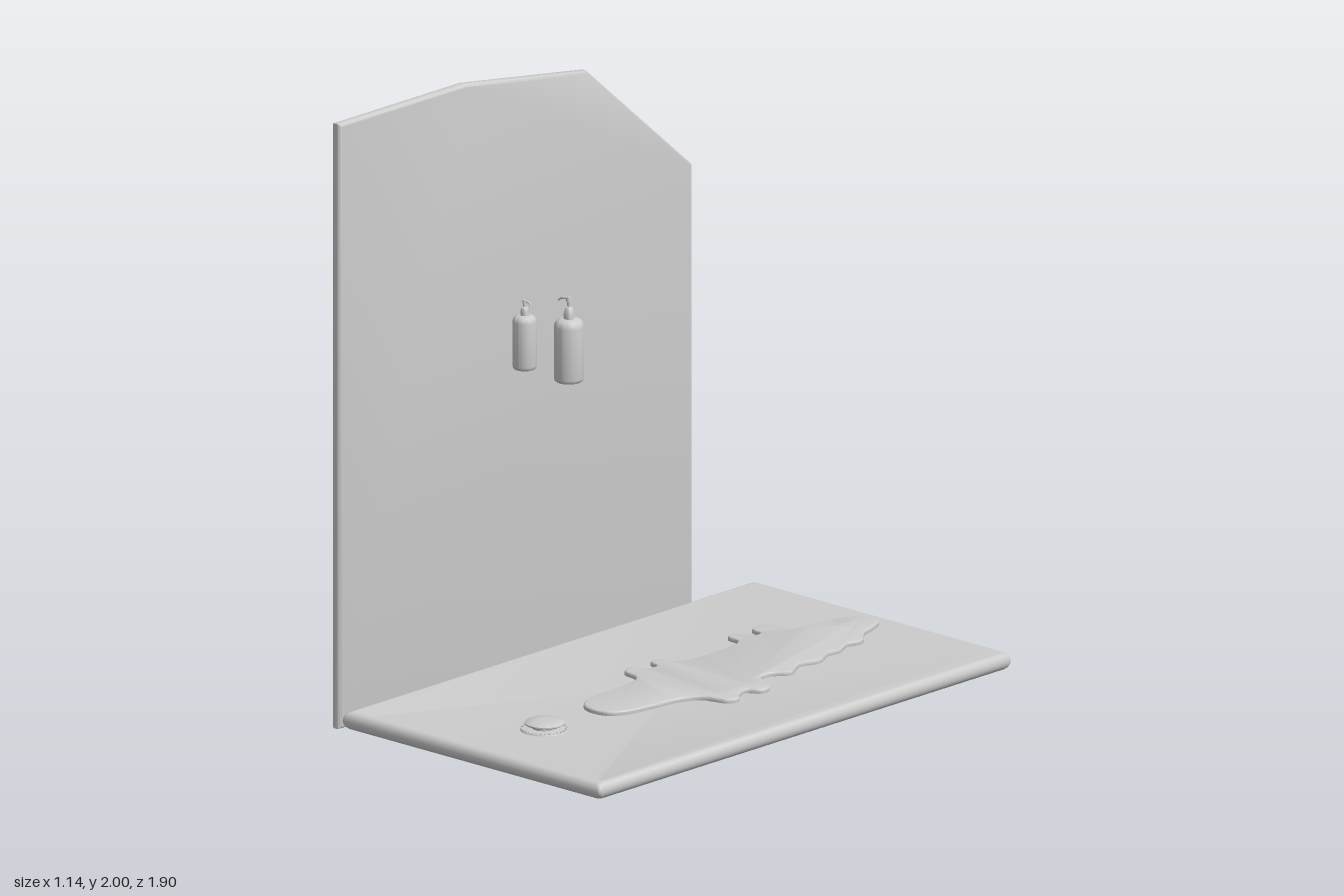
import * as THREE from 'three';
import { toCreasedNormals } from 'three/addons/utils/BufferGeometryUtils.js';

const grey = new THREE.MeshStandardMaterial({ color: 0xcccccc });

function part(name, geometry, parent, crease = 0.7) {
  const mesh = new THREE.Mesh(toCreasedNormals(geometry, crease), grey);
  mesh.name = name;
  parent.add(mesh);
  return mesh;
}

const floorY = (z) => 0.063 - 0.0084 * z; // floor falls gently towards the drain

// Rounded-rectangle loop, running anticlockwise seen from above
function trayLoop(inset, y) {
  const hx = 0.555 - inset, hz = 0.947 - inset, r = 0.014, n = 4, loop = [];
  for (let c = 0; c < 4; c++) {
    const sx = c === 0 || c === 3 ? 1 : -1, sz = c < 2 ? 1 : -1;
    for (let i = 0; i <= n; i++) {
      const a = (c + i / n) * Math.PI / 2;
      const x = 0.013 + sx * (hx - r) + r * Math.cos(a);
      const z = -0.004 + sz * (hz - r) + r * Math.sin(a);
      loop.push([x, y ?? floorY(z), z]);
    }
  }
  return loop;
}

// Tray lofted from underside, round the edge and rim, down into the shallow basin
function trayGeometry() {
  const loops = [trayLoop(0.022, 0.015)];
  for (let i = 1; i <= 8; i++) {
    const a = -Math.PI / 2 + i * Math.PI / 8;
    loops.push(trayLoop(0.022 * (1 - Math.cos(a)), 0.0425 + 0.0275 * Math.sin(a)));
  }
  loops.push(trayLoop(0.026, 0.07), trayLoop(0.065));
  const m = loops[0].length, pos = loops.flat(2), index = [];
  for (let k = 0; k < loops.length - 1; k++) {
    for (let i = 0; i < m; i++) {
      const a = k * m + i, b = k * m + (i + 1) % m;
      index.push(a, a + m, b, b, a + m, b + m);
    }
  }
  const low = pos.length / 3, high = low + 1, last = (loops.length - 1) * m;
  pos.push(0.013, 0.015, -0.004, 0.013, floorY(-0.004), -0.004);
  for (let i = 0; i < m; i++) {
    const j = (i + 1) % m;
    index.push(low, i, j, high, last + j, last + i);
  }
  const geo = new THREE.BufferGeometry();
  geo.setAttribute('position', new THREE.Float32BufferAttribute(pos, 3));
  geo.setIndex(index);
  return geo;
}

// Side panel with a clipped upper back corner
function panelGeometry() {
  const outline = [[0.95, 0.014], [-0.67, 0], [-0.67, 1.5], [-0.19, 1.915], [0.37, 2], [0.95, 2]];
  const shape = new THREE.Shape(outline.map(([z, y]) => new THREE.Vector2(-z, y)));
  const geo = new THREE.ExtrudeGeometry(shape, {
    depth: 0.011, bevelThickness: 0.012, bevelSize: 0.012, bevelOffset: -0.012, bevelSegments: 4,
  });
  return geo.rotateY(Math.PI / 2).translate(-0.563, 0, 0);
}

// Outline of the mat as x, z pairs
const matOutline = [
  [0.02, -0.89], [0.07, -0.87], [0.095, -0.81], [0.11, -0.76], [0.16, -0.70], [0.16, -0.67],
  [0.15, -0.64], [0.175, -0.58], [0.17, -0.53], [0.20, -0.46], [0.18, -0.39], [0.215, -0.31],
  [0.18, -0.26], [0.18, -0.21], [0.23, -0.18], [0.275, -0.15], [0.275, -0.11], [0.235, -0.08],
  [0.25, -0.04], [0.28, 0], [0.265, 0.035], [0.18, 0.065], [0.145, 0.13], [0.13, 0.23],
  [0.115, 0.32], [0.08, 0.375], [0.02, 0.39], [-0.03, 0.375], [-0.06, 0.33], [-0.07, 0.20],
  [-0.085, 0.085], [-0.115, 0.05], [-0.175, 0.035], [-0.185, -0.005], [-0.14, -0.03],
  [-0.135, -0.07], [-0.18, -0.09], [-0.18, -0.125], [-0.135, -0.135], [-0.105, -0.18],
  [-0.105, -0.40], [-0.125, -0.43], [-0.175, -0.44], [-0.18, -0.475], [-0.155, -0.495],
  [-0.12, -0.505], [-0.125, -0.535], [-0.17, -0.545], [-0.18, -0.59], [-0.165, -0.62],
  [-0.10, -0.625], [-0.075, -0.64], [-0.055, -0.76], [-0.03, -0.845],
];

function matGeometry() {
  const curve = new THREE.CatmullRomCurve3(
    matOutline.map(([x, z]) => new THREE.Vector3(x, -z, 0)), true, 'centripetal');
  const shape = new THREE.Shape(curve.getPoints(270).slice(0, -1).map((p) => new THREE.Vector2(p.x, p.y)));
  for (const [x, z, rx, rz] of [[0.02, -0.775, 0.026, 0.026], [0.205, -0.135, 0.026, 0.021], [0.21, -0.005, 0.026, 0.021]]) {
    const hole = new THREE.Path();
    hole.absellipse(x, -z, rx, rz, 0, Math.PI * 2, true);
    shape.holes.push(hole);
  }
  const geo = new THREE.ExtrudeGeometry(shape, {
    depth: 0.009, bevelThickness: 0.006, bevelSize: 0.006, bevelOffset: -0.006, bevelSegments: 3, curveSegments: 24,
  });
  geo.rotateX(-Math.PI / 2);
  // Lay the mat on the sloping floor
  const p = geo.attributes.position;
  for (let i = 0; i < p.count; i++) p.setY(i, p.getY(i) + floorY(p.getZ(i)));
  return geo;
}

const lathe = (points, sides = 40) =>
  new THREE.LatheGeometry(points.map(([r, y]) => new THREE.Vector2(r, y)), sides);

// Pump bottle; the spout points along direction dir (+1 or -1 in x)
function bottle(name, x, radius, bodyTop, pumpTop, dir) {
  const g = new THREE.Group();
  g.name = name;
  const base = 1.225, h = bodyTop - base, r = radius, p = pumpTop - bodyTop;
  part('bottleBody', lathe([
    [0, 0], [r * 0.88, 0], [r * 0.97, 0.004], [r, 0.012], [r, h - r * 0.55], [r * 0.95, h - r * 0.3],
    [r * 0.8, h - r * 0.1], [r * 0.55, h], [0, h],
  ]), g);
  part('pumpCollar', lathe([
    [0, 0], [r * 0.36, 0], [r * 0.36, p * 0.2], [r * 0.26, p * 0.5], [r * 0.15, p * 0.56], [0, p * 0.56],
  ], 24), g).position.y = h;
  part('pumpStem', new THREE.CylinderGeometry(r * 0.12, r * 0.12, p * 0.4, 16), g).position.y = h + p * 0.7;
  part('pumpHead', new THREE.CylinderGeometry(r * 0.16, r * 0.2, p * 0.2, 16), g).position.y = h + p * 0.9;
  const spout = new THREE.CatmullRomCurve3([
    new THREE.Vector3(0, h + p * 0.9, 0), new THREE.Vector3(dir * r * 0.55, h + p * 0.9, 0.003),
    new THREE.Vector3(dir * r * 0.85, h + p * 0.78, 0.006),
  ]);
  part('pumpSpout', new THREE.TubeGeometry(spout, 10, r * 0.08, 10), g);
  g.position.set(x, base, 0.61);
  return g;
}

// Raised drain: flange, neck, domed cap and a ring of small studs
function drain() {
  const g = new THREE.Group();
  g.name = 'drain';
  part('drainFlange', lathe([[0, 0], [0.076, 0], [0.074, 0.004], [0.055, 0.006], [0, 0.006]], 48), g);
  part('drainNeck', new THREE.CylinderGeometry(0.04, 0.04, 0.016, 32), g).position.y = 0.012;
  part('drainCap', lathe([
    [0, 0.017], [0.058, 0.017], [0.063, 0.02], [0.063, 0.024], [0.058, 0.028], [0.03, 0.031], [0, 0.032],
  ], 48), g);
  for (let i = 0; i < 32; i++) {
    const a = i / 32 * Math.PI * 2;
    const stud = part('drainStud', new THREE.SphereGeometry(0.003, 8, 6), g);
    stud.position.set(0.07 * Math.cos(a), 0.006, 0.07 * Math.sin(a));
  }
  g.position.set(0.02, floorY(0.61), 0.61);
  return g;
}

export function createModel() {
  const model = new THREE.Group();
  model.name = 'showerCorner';
  part('showerTray', trayGeometry(), model, 0.5);
  part('sidePanel', panelGeometry(), model);
  part('bathMat', matGeometry(), model);
  model.add(drain());
  model.add(bottle('smallBottle', -0.065, 0.038, 1.4, 1.45, 1));
  model.add(bottle('largeBottle', 0.125, 0.047, 1.43, 1.5, -1));
  return model;
}
